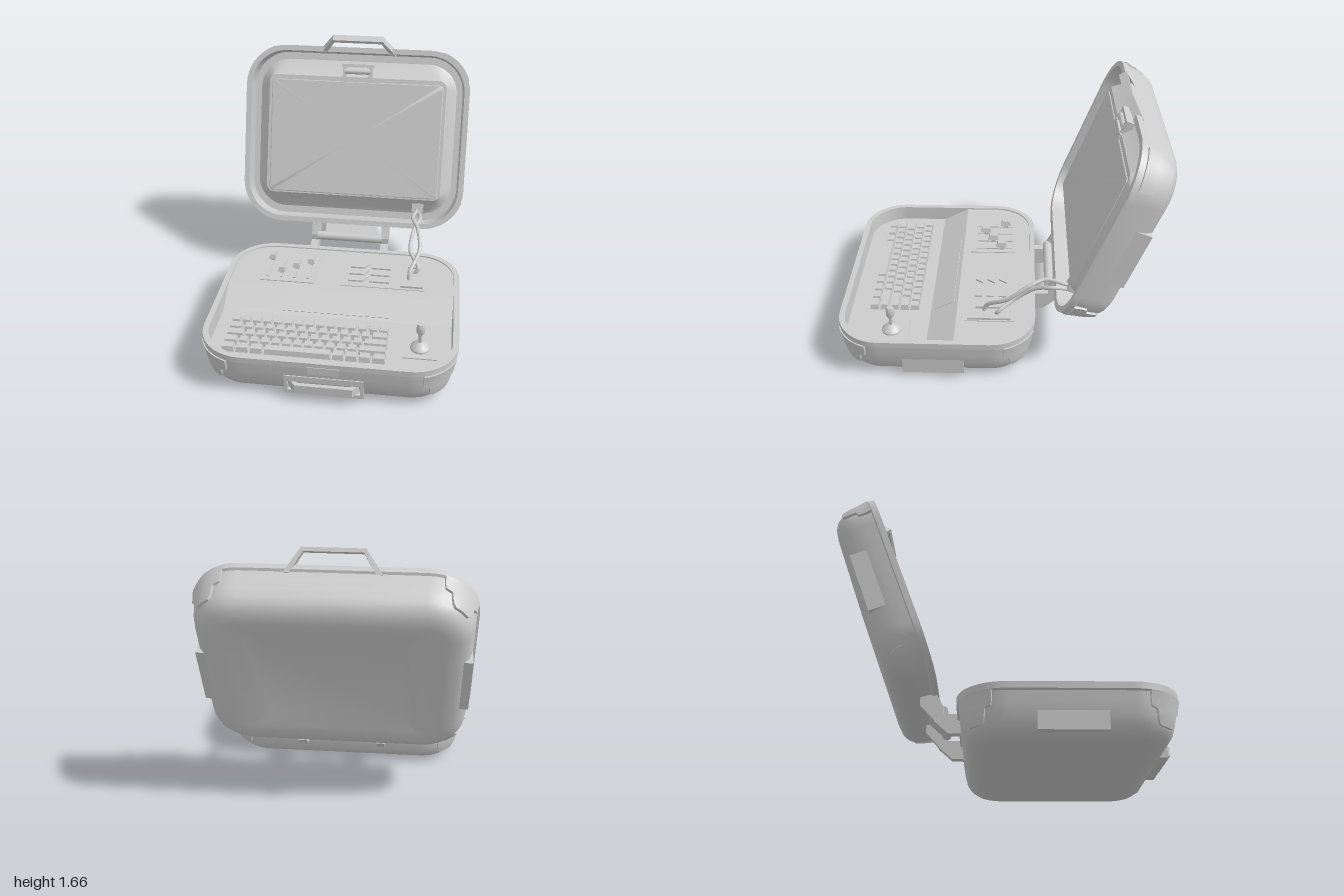
import * as THREE from 'three';
import { toCreasedNormals } from 'three/addons/utils/BufferGeometryUtils.js';

const mat = new THREE.MeshStandardMaterial({ color: 0xcccccc, side: THREE.DoubleSide });
const HX = 0.775, HZ = 0.618, R = 0.28, SEG = 10;
// outer wall profile: [inset, y]
const WALL = [[.17, 0], [.11, .01], [.07, .035], [.045, .07], [.03, .12], [.02, .18], [.014, .245], [0, .252], [0, .29]];

function add(parent, name, geo, x = 0, y = 0, z = 0, rx = 0) {
  const m = new THREE.Mesh(geo, mat);
  m.name = name;
  m.position.set(x, y, z);
  m.rotation.x = rx;
  parent.add(m);
  return m;
}
const box = (w, h, d) => new THREE.BoxGeometry(w, h, d);
const cyl = (r0, r1, h, n = 24) => new THREE.CylinderGeometry(r0, r1, h, n);
const poly = pts => new THREE.Shape(pts.map(p => new THREE.Vector2(...p)));
const extrude = (shape, depth) => new THREE.ExtrudeGeometry(shape, { depth, bevelEnabled: false, curveSegments: 8 });

// box whose top face is smaller than its base
function taperedBox(w, h, d, inset) {
  const g = box(w, h, d), p = g.attributes.position;
  for (let i = 0; i < p.count; i++) if (p.getY(i) > 0) {
    p.setX(i, p.getX(i) - Math.sign(p.getX(i)) * inset);
    p.setZ(i, p.getZ(i) - Math.sign(p.getZ(i)) * inset);
  }
  g.computeVertexNormals();
  return g;
}

function meshFrom(pos, idx, crease = 0.5) {
  const g = new THREE.BufferGeometry();
  g.setAttribute('position', new THREE.Float32BufferAttribute(pos, 3));
  g.setIndex(idx);
  return toCreasedNormals(g, crease);
}

// capped loft through rounded rectangles [halfX, halfZ, radius, y]
function loft(rows) {
  const pos = [], idx = [], n = 4 * (SEG + 1);
  for (const [hx, hz, r, y] of rows)
    for (let c = 0; c < 4; c++) for (let s = 0; s <= SEG; s++) {
      const a = (c + s / SEG) * Math.PI / 2;
      const sx = c === 0 || c === 3 ? 1 : -1, sz = c < 2 ? 1 : -1;
      pos.push(sx * (hx - r) + r * Math.cos(a), y, sz * (hz - r) + r * Math.sin(a));
    }
  for (let i = 0; i < rows.length - 1; i++) for (let j = 0; j < n; j++) {
    const a = i * n + j, b = i * n + (j + 1) % n;
    idx.push(a, a + n, b, b, a + n, b + n);
  }
  const last = (rows.length - 1) * n, c = rows.length * n;
  pos.push(0, rows[0][3], 0, 0, rows[rows.length - 1][3], 0);
  for (let j = 0; j < n; j++) {
    const k = (j + 1) % n;
    idx.push(c, j, k, c + 1, last + k, last + j);
  }
  return meshFrom(pos, idx);
}
const inset = (d, y) => [HX - d, HZ - d, R - d, y];

function wallInset(y) {
  for (let i = 1; i < WALL.length; i++) if (y <= WALL[i][1]) {
    const [d0, y0] = WALL[i - 1], [d1, y1] = WALL[i];
    return d0 + (d1 - d0) * (y - y0) / (y1 - y0);
  }
  return 0;
}

// corner guard hugging the wall: wide band above a narrow tongue
function guardGeometry() {
  const rows = [[.248, 18], [.2, 18], [.165, 19], [.152, 27], [.12, 28], [.09, 30], [.07, 34]];
  rows.unshift(rows[0]); rows.push(rows[rows.length - 1]);
  const pos = [], idx = [], cols = 12;
  rows.forEach(([y, deg], i) => {
    for (let j = 0; j <= cols; j++) {
      const edge = i === 0 || i === rows.length - 1 || j === 0 || j === cols;
      const t = (Math.min(Math.max(j, 1), cols - 1) - 1) / (cols - 2);
      const a = THREE.MathUtils.degToRad(deg + (90 - 2 * deg) * t);
      const r = R - wallInset(y) + (edge ? -.01 : .014);
      pos.push(r * Math.cos(a), y, r * Math.sin(a));
    }
  });
  for (let i = 0; i < rows.length - 1; i++) for (let j = 0; j < cols; j++) {
    const a = i * (cols + 1) + j, b = a + cols + 1;
    idx.push(a, a + 1, b, b, a + 1, b + 1);
  }
  return meshFrom(pos, idx);
}

// corner guards and side plates shared by both halves
function addFittings(half) {
  const guard = guardGeometry();
  [[1, 1], [-1, 1], [-1, -1], [1, -1]].forEach(([sx, sz], k) => {
    add(half, 'cornerGuard', guard, sx * (HX - R), 0, sz * (HZ - R)).rotation.y = -k * Math.PI / 2;
  });
  for (const s of [-1, 1]) add(half, 'sidePlate', box(.06, .135, .38), s * .718, .098, .01);
}

// handle outline: a trapezoid arch
const arch = (w0, w1, h, t) => poly([[-w0, 0], [-w1, h], [w1, h], [w0, 0], [w0 - t * 1.5, 0], [w1 - t * .5, h - t], [-w1 + t * .5, h - t], [-w0 + t * 1.5, 0]]);

function buildBase(root) {
  const base = new THREE.Group();
  base.name = 'base';
  base.position.z = .372;
  root.add(base);
  add(base, 'baseShell', loft([...WALL.map(w => inset(...w)), inset(.036, .29), inset(.04, .19)]));
  addFittings(base);
  // carrying handle and latch on the front
  const frame = poly([[-.235, .04], [.235, .04], [.235, .17], [-.235, .17]]);
  frame.holes.push(poly([[-.215, .065], [-.215, .13], [.215, .13], [.215, .065]]));
  add(base, 'handleFrame', extrude(frame, .06), 0, 0, .543);
  add(base, 'frontHandle', extrude(arch(.215, .17, .055, .025), .055), 0, .124, .573, Math.PI / 2);
  add(base, 'frontLatch', box(.18, .04, .03), 0, .228, .602);
  add(base, 'frontLatchCap', box(.19, .012, .036), 0, .256, .604);
}

function buildDeck(root) {
  const deck = new THREE.Group();
  deck.name = 'deck';
  root.add(deck);
  // raised rear deck with rounded back corners
  const w = .737, zb = .21, zf = -.252, r = .24;
  const s = new THREE.Shape();
  s.moveTo(-w, zf); s.lineTo(w, zf); s.lineTo(w, zb - r);
  s.absarc(w - r, zb - r, r, 0, Math.PI / 2, false);
  s.absarc(r - w, zb - r, r, Math.PI / 2, Math.PI, false);
  add(deck, 'rearDeck', extrude(s, .1), 0, .182, 0, -Math.PI / 2);
  const wedge = extrude(poly([[-.252, .18], [-.252, .282], [-.43, .19], [-.43, .18]]), w * 2);
  wedge.rotateY(Math.PI / 2);
  add(deck, 'slope', wedge, -w);
  add(deck, 'stripDisplay', box(.7, .008, .145), 0, .236, .342, .477);

  // slider bank
  add(deck, 'sliderPanel', box(.36, .006, .315), -.36, .285, .043);
  [-.04, .1, .045, -.015].forEach((z, i) => {
    const x = -.495 + i * .09;
    add(deck, 'sliderTrack', box(.014, .008, .25), x, .29, .035);
    add(deck, 'sliderStem', box(.022, .03, .03), x, .302, z);
    add(deck, 'sliderKnob', taperedBox(.05, .032, .07, .008), x, .33, z);
  });

  // button panel
  add(deck, 'buttonPanel', box(.55, .005, .31), .275, .284, .043);
  for (let i = 0; i < 3; i++) for (const flip of [0, 1]) {
    const pts = flip ? [[.185, -.025], [.315, -.025], [.315, .025], [.22, .025]] : [[.045, -.025], [.14, -.025], [.175, .025], [.045, .025]];
    add(deck, 'button', extrude(poly(pts), .012), 0, .285, -.033 + i * .078, -Math.PI / 2);
  }
  // cable socket
  const rim = poly([[-.075, -.135], [.075, -.135], [.075, .135], [-.075, .135]]);
  rim.holes.push(poly([[-.035, -.09], [-.035, .09], [.035, .09], [.035, -.09]]));
  add(deck, 'cableSocket', extrude(rim, .015), .465, .285, .045, -Math.PI / 2);

  // keyboard: key widths per row in key units
  const ones = n => Array(n).fill(1);
  const rows = [ones(15), [1.4, ...ones(12), 1.6], [1.75, ...ones(11), 2.25], [1.35, ...ones(11), 2.65],
    [1.3, 1.3, 1.3, 6.2, 1.2, 1.2, 1.2, 1.3]];
  rows.forEach((row, k) => {
    let x = -.65;
    for (const u of row) {
      const kw = u / 15;
      add(deck, 'key', taperedBox(kw - .009, .035, .057, .006), x + kw / 2, .208, .537 + k * .066);
      x += kw;
    }
  });

  // joystick
  add(deck, 'joystickPlate', box(.21, .008, .21), .545, .193, .655);
  const boot = [[.06, 0], [.06, .012], [.045, .03], [.02, .045], [.012, .05], [.012, .11], [.022, .115],
    [.026, .125], [.026, .165], [.02, .183], [0, .185]].map(p => new THREE.Vector2(...p));
  add(deck, 'joystick', toCreasedNormals(new THREE.LatheGeometry(boot, 24), .5), .545, .195, .66);
}

function buildLid(root) {
  const lid = new THREE.Group();
  lid.name = 'lid';
  lid.position.set(0, .898, -.831);
  lid.rotation.x = 1.215;
  lid.scale.y = .94;
  root.add(lid);
  add(lid, 'lidShell', loft([[.38, .29, .01, .035], [.47, .38, .015, 0], ...WALL.map(w => inset(...w)),
    inset(.036, .29), inset(.045, .17), [.69, .525, .2, .17], [.67, .5, .17, .185], [.615, .415, .05, .272]]));
  addFittings(lid);
  add(lid, 'screen', loft([[.595, .395, .025, .26], [.595, .395, .025, .277], [.59, .39, .022, .28]]), 0, 0, .01);
  // inner latch
  add(lid, 'latchPlate', box(.24, .04, .035), 0, .265, -.4);
  add(lid, 'latchBack', box(.22, .05, .02), 0, .255, -.495);
  for (const s of [-1, 1]) add(lid, 'latchBracket', box(.025, .06, .1), s * .09, .25, -.45);
  add(lid, 'latchBar', cyl(.018, .018, .18, 12), 0, .275, -.455).rotation.z = Math.PI / 2;
  add(lid, 'cableJack', box(.08, .05, .06), .465, .225, .475);
  // carrying handle on the upper edge
  add(root, 'topHandle', extrude(arch(.26, .17, .135, .022), .05), 0, 1.545, -.835, .5);
}

function buildHinge(root) {
  const hinge = new THREE.Group();
  hinge.name = 'hinge';
  root.add(hinge);
  const lower = [[.225, .29], [.355, .29], [.385, .245], [.3, .17], [.225, .17]];
  const upper = [[.33, .33], [.37, .41], [.47, .41], [.47, .345], [.37, .236], [.33, .285]];
  for (const s of [-1, 1]) [lower, upper].forEach((pts, i) => {
    const g = extrude(poly(pts), .052);
    g.rotateY(Math.PI / 2);
    add(hinge, i ? 'upperArm' : 'lowerArm', g, s * .247 - .026);
  });
  add(hinge, 'hingeBarrel', cyl(.03, .03, .46), 0, .325, -.335).rotation.z = Math.PI / 2;
  add(hinge, 'hingeLeaf', box(.36, .016, .14), 0, .34, -.385, .75);
}

function buildCables(root) {
  const paths = [
    [[.445, .28, .08], [.445, .33, .06], [.5, .42, -.07], [.48, .51, -.2], [.44, .535, -.3], [.46, .52, -.42], [.46, .5, -.48]],
    [[.475, .28, .0], [.5, .32, -.01], [.44, .38, -.12], [.45, .47, -.24], [.49, .51, -.34], [.48, .5, -.42], [.48, .48, -.48]]];
  for (const p of paths) {
    const curve = new THREE.CatmullRomCurve3(p.map(v => new THREE.Vector3(...v)));
    add(root, 'cable', new THREE.TubeGeometry(curve, 48, .013, 10));
  }
}

export function createModel() {
  const root = new THREE.Group();
  root.name = 'portableConsole';
  for (const build of [buildBase, buildDeck, buildLid, buildHinge, buildCables]) build(root);
  return root;
}
